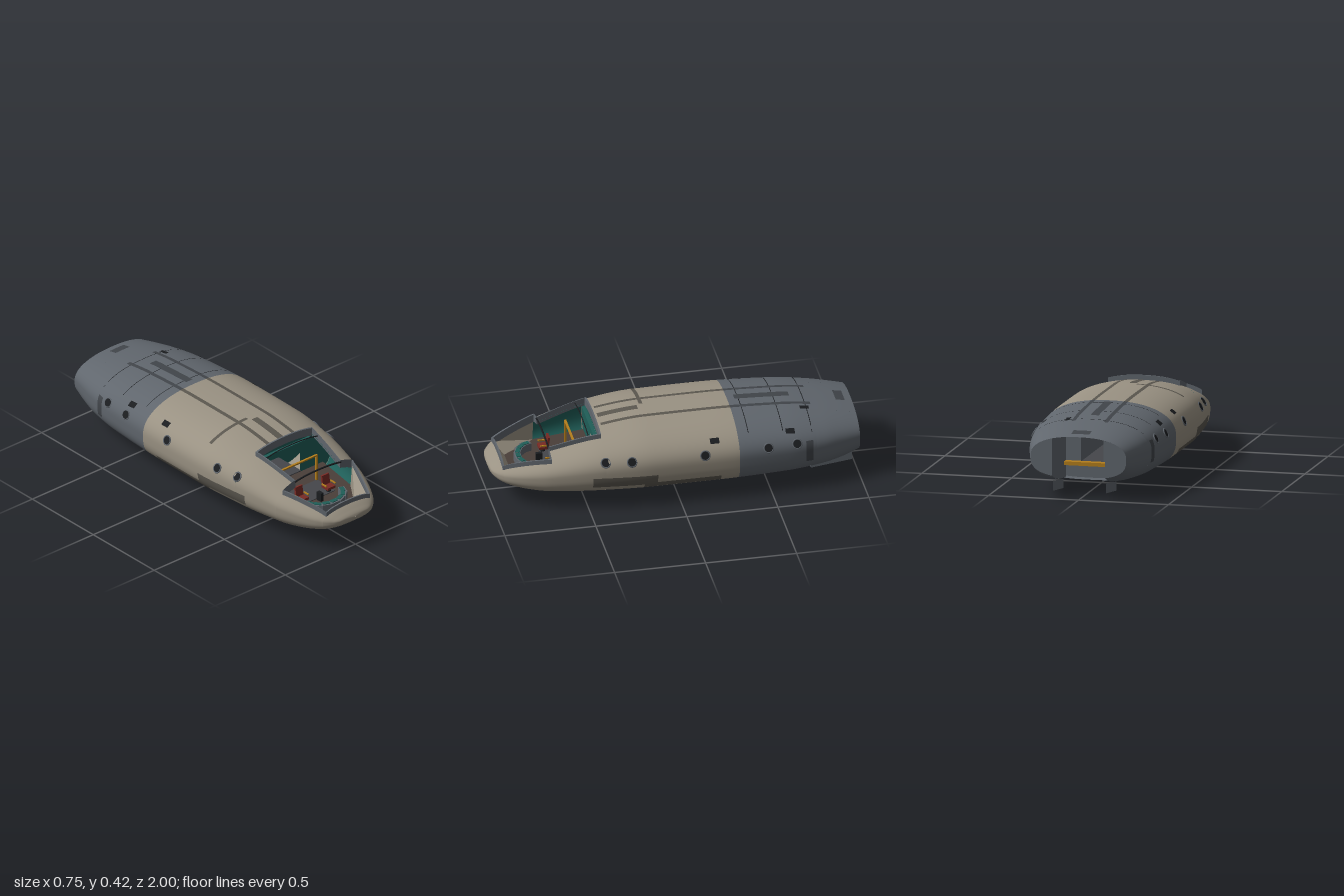
import * as THREE from 'three';

// Hull stations: z, half width, top, bottom, height of the widest line
const STATIONS = [
  [-1, 0.265, 0.345, 0.12, 0.235], [-0.9, 0.295, 0.365, 0.085, 0.235], [-0.8, 0.322, 0.381, 0.068, 0.235],
  [-0.6, 0.352, 0.404, 0.055, 0.235], [-0.2, 0.37, 0.418, 0.05, 0.235], [0.15, 0.369, 0.416, 0.05, 0.232],
  [0.41, 0.348, 0.387, 0.053, 0.22], [0.69, 0.297, 0.31, 0.062, 0.195], [0.8, 0.26, 0.275, 0.075, 0.185],
  [0.9, 0.21, 0.24, 0.098, 0.175], [0.94, 0.18, 0.223, 0.113, 0.172], [0.97, 0.145, 0.204, 0.13, 0.172],
  [0.993, 0.095, 0.186, 0.152, 0.172], [1, 0.004, 0.174, 0.17, 0.172]];
const TOP_N = 2.3, BOTTOM_N = 3;

const material = (color) => new THREE.MeshStandardMaterial({ color, side: THREE.DoubleSide });
const M = {
  beige: material(0x9a9283), grey: material(0x60666d), dark: material(0x45474b), streak: material(0x5b574f),
  greyStreak: material(0x41454a), teal: material(0x1f5e58), orange: material(0xb57f1c), brown: material(0x4a3f3a),
  red: material(0x7a2a24), black: material(0x1b1d20), blue: material(0x24406b),
};
const vec = (x, y, z) => new THREE.Vector3(x, y, z);
const steps = (a, b, n) => Array.from({ length: n + 1 }, (_, i) => a + (b - a) * i / n);
const shapeOf = (pts) => new THREE.Shape(pts.map(([x, y]) => new THREE.Vector2(x, y)));

// Smooth monotone interpolation of one column of the stations
function station(z, k) {
  const last = STATIONS.length - 1;
  let i = 0;
  while (i < last - 1 && z > STATIONS[i + 1][0]) i++;
  const slope = (n) => (STATIONS[n + 1][k] - STATIONS[n][k]) / (STATIONS[n + 1][0] - STATIONS[n][0]);
  const tangent = (n) => {
    const a = slope(Math.max(n - 1, 0)), b = slope(Math.min(n, last - 1));
    return a * b > 0 ? 2 * a * b / (a + b) : 0;
  };
  const h = STATIONS[i + 1][0] - STATIONS[i][0], t = (z - STATIONS[i][0]) / h;
  const p = STATIONS[i][k], q = STATIONS[i + 1][k];
  return p + (q - p) * t * t * (3 - 2 * t) + h * t * (1 - t) * ((1 - t) * tangent(i) - t * tangent(i + 1));
}

// Point of the +x half: angle PI/2 is the crown, -PI/2 the keel
function hullPoint(a, z, scale = 1) {
  const n = a >= 0 ? TOP_N : BOTTOM_N, mid = station(z, 4), reach = station(z, a >= 0 ? 2 : 3) - mid;
  return vec(scale * station(z, 1) * Math.pow(Math.max(0, Math.cos(a)), 2 / n),
    mid + scale * reach * Math.pow(Math.abs(Math.sin(a)), 2 / n), z);
}
const angleAt = (x, z, n) => Math.acos(Math.min(1, Math.pow(x / station(z, 1), n / 2)));
const onTop = (x, z) => hullPoint(angleAt(Math.abs(x), z, TOP_N), z).setX(x);
const onSide = (side) => (y, z) => {
  const up = y >= station(z, 4), n = up ? TOP_N : BOTTOM_N;
  const s = Math.abs((y - station(z, 4)) / (station(z, up ? 2 : 3) - station(z, 4)));
  const p = hullPoint((up ? 1 : -1) * Math.asin(Math.min(1, Math.pow(s, n / 2))), z);
  return vec(side * p.x, y, z);
};

// Surface from rows of points, smooth or faceted
function grid(rows, { flip = false, flat = false } = {}) {
  const idx = [], w = rows[0].length;
  for (let i = 0; i < rows.length - 1; i++) for (let j = 0; j < w - 1; j++) {
    const a = i * w + j, b = a + 1, c = a + w, d = c + 1;
    idx.push(...(flip ? [a, c, b, b, c, d] : [a, b, c, b, d, c]));
  }
  let g = new THREE.BufferGeometry().setFromPoints(rows.flat()).setIndex(idx);
  if (flat) g = g.toNonIndexed();
  g.computeVertexNormals();
  return g;
}

export function createModel() {
  const model = new THREE.Group();
  const add = (name, geometry, mat, x = 0, y = 0, z = 0, parent = model) => {
    const mesh = new THREE.Mesh(geometry, mat);
    mesh.name = name;
    mesh.position.set(x, y, z);
    parent.add(mesh);
    return mesh;
  };
  const box = (name, w, h, d, mat, x, y, z, parent) => add(name, new THREE.BoxGeometry(w, h, d), mat, x, y, z, parent);
  const group = (name, x, y, z) => {
    const g = new THREE.Group();
    g.name = name;
    g.position.set(x, y, z);
    model.add(g);
    return g;
  };

  // Hull sections, optionally open at crown or keel
  function hullSection(name, z0, z1, n, mat, crown = () => 0, keel = 0, scale = 1) {
    for (const side of [1, -1]) {
      const rows = steps(z0, z1, n).map((z) => steps(angleAt(crown(z), z, TOP_N), -angleAt(keel, z, BOTTOM_N), 40)
        .map((a) => hullPoint(a, z, scale).multiply(vec(side, 1, 1))));
      const g = grid(rows, { flip: side < 0 }), p = g.attributes.position, normal = g.attributes.normal;
      for (let i = 0; i < p.count; i++) if (Math.abs(p.getX(i)) < 1e-5) normal.setX(i, 0);
      g.normalizeNormals();
      add(name, g, mat);
    }
  }
  const lowerCut = (z) => THREE.MathUtils.mapLinear(z, 0.69, 0.94, 0.25, 0.155);
  const upperCut = (z) => THREE.MathUtils.mapLinear(z, 0.41, 0.69, 0.2, 0.165);
  hullSection('nose', 1, 0.94, 24, M.beige);
  hullSection('cockpitHull', 0.94, 0.69, 14, M.beige, lowerCut);
  hullSection('canopyHull', 0.69, 0.41, 12, M.beige, upperCut);
  hullSection('midHull', 0.41, -0.32, 24, M.beige);
  hullSection('rearHull', -0.32, -0.75, 16, M.grey);
  hullSection('sternHull', -0.75, -1, 12, M.grey, undefined, 0.147);
  hullSection('cockpitLining', 0.9, 0.69, 10, M.teal, lowerCut, 0, 0.96);
  hullSection('cabinLining', 0.69, 0.41, 10, M.teal, upperCut, 0, 0.96);

  // Raised collar and cross bars of the cockpit opening
  const corners = [[-0.2, 0.41], [0.2, 0.41], [0.165, 0.69], [0.25, 0.69], [0.155, 0.94], [-0.155, 0.94],
    [-0.25, 0.69], [-0.165, 0.69], [-0.2, 0.41]];
  for (let i = 0; i < corners.length - 1; i++) {
    const [a, b] = [corners[i], corners[i + 1]];
    add('canopyCollar', grid(steps(0, 1, 14).map((t) => {
      const p = onTop(a[0] + (b[0] - a[0]) * t, a[1] + (b[1] - a[1]) * t);
      const at = (s, dy) => vec(p.x * s, p.y + dy, 0.68 + (p.z - 0.68) * s);
      return [at(1, -0.008), at(1, 0.026), at(0.965, 0.026), at(0.965, -0.02)];
    }), { flat: true }), M.grey);
  }
  for (const [z, w, r] of [[0.69, 0.165, 0.005], [0.475, 0.19, 0.003]]) {
    const path = new THREE.CatmullRomCurve3(steps(-w, w, 8).map((x) => onTop(x, z).add(vec(0, 0.015, 0))));
    add('canopyBar', new THREE.TubeGeometry(path, 24, r, 6), M.black);
  }

  // Cockpit floor and the sloping sill in front of it
  const floor = shapeOf([[-0.28, -0.41], [0.28, -0.41], [0.23, -0.7], [0.1, -0.88], [-0.1, -0.88], [-0.23, -0.7]]);
  add('cockpitFloor', new THREE.ShapeGeometry(floor), M.brown, 0, 0.145, 0).rotation.x = -Math.PI / 2;
  box('floorPlate', 0.25, 0.004, 0.15, M.dark, 0, 0.149, 0.615);
  add('cockpitSill', grid([
    [[-0.245, 0.69], [-0.152, 0.935], [0.152, 0.935], [0.245, 0.69]].map(([x, z]) => onTop(x, z)),
    [[-0.225, 0.7], [-0.1, 0.88], [0.1, 0.88], [0.225, 0.7]].map(([x, z]) => vec(x, 0.145, z)),
  ], { flat: true }), M.beige);

  // Bulkheads shaped to the hull, each with a doorway, and the door frames
  for (const [z, w, top, mat] of [[0.405, 0.12, 0.31, M.teal], [0.2, 0.062, 0.3, M.teal], [-0.7, 0.062, 0.3, M.grey]]) {
    const half = steps(Math.PI / 2, -Math.PI / 2, 32).map((a) => hullPoint(a, z, 0.97));
    const shape = shapeOf([...half.map((p) => [p.x, p.y]), ...half.slice(1, -1).reverse().map((p) => [-p.x, p.y])]);
    shape.holes.push(shapeOf([[-w, 0.15], [-w, top], [w, top], [w, 0.15]]));
    add('bulkhead', new THREE.ShapeGeometry(shape), mat, 0, 0, z);
  }
  for (const [z, w, top] of [[0.54, 0.122, 0.304], [0.205, 0.064, 0.298]]) {
    for (const s of [-1, 1]) box('doorPost', 0.008, top - 0.15, 0.012, M.orange, s * w, (0.15 + top) / 2, z);
    box('doorLintel', 2 * w + 0.008, 0.008, 0.012, M.orange, 0, top, z);
  }
  box('locker', 0.02, 0.12, 0.05, M.blue, -0.108, 0.21, 0.3);
  box('overheadPanel', 0.34, 0.035, 0.02, M.teal, 0, 0.335, 0.43);
  // Corridor through the ship
  box('corridorFloor', 0.25, 0.006, 1.11, M.dark, 0, 0.147, -0.145);
  box('corridorCeiling', 0.14, 0.006, 0.9, M.dark, 0, 0.306, -0.25);
  for (const s of [-1, 1]) box('corridorWall', 0.006, 0.155, 0.9, M.grey, s * 0.068, 0.227, -0.25);

  // Seats and curved console
  for (const s of [-1, 1]) {
    const seat = group('pilotSeat', s * 0.095, 0.147, 0.67);
    add('seatPost', new THREE.CylinderGeometry(0.008, 0.016, 0.025, 10), M.black, 0, 0.012, 0, seat);
    box('seatCushion', 0.055, 0.014, 0.05, M.red, 0, 0.03, 0, seat);
    box('seatBack', 0.05, 0.06, 0.012, M.red, 0, 0.062, -0.026, seat).rotation.x = -0.15;
    for (const k of [-1, 1]) box('armrest', 0.007, 0.007, 0.04, M.orange, k * 0.031, 0.048, 0, seat);
  }
  for (const a of steps(-1.2, 1.2, 6)) {
    const desk = group('console', 0.125 * Math.sin(a), 0.147, 0.725 + 0.1 * Math.cos(a));
    desk.rotation.y = a;
    box('consoleBase', 0.058, 0.045, 0.035, M.grey, 0, 0.022, 0, desk);
    box('consoleScreen', 0.04, 0.004, 0.024, M.teal, 0, 0.047, -0.002, desk);
  }
  box('centrePedestal', 0.02, 0.05, 0.035, M.black, 0, 0.17, 0.71);

  // Stern end plates, ramp bay walls and the skirt below
  const bayTop = (z) => angleAt(0.147, z, TOP_N), bayBottom = (z) => -angleAt(0.147, z, BOTTOM_N);
  for (const s of [-1, 1]) {
    const edge = steps(bayTop(-1), bayBottom(-1), 28).map((a) => hullPoint(a, -1));
    add('sternPlate', new THREE.ShapeGeometry(shapeOf(edge.map((p) => [s * p.x, p.y]))), M.grey, 0, 0, -1);
    add('bayWall', grid([bayTop, bayBottom].map((angle) => steps(-0.7, -1, 8)
      .map((z) => hullPoint(angle(z), z).setX(s * 0.147)))), M.grey);
    add('skirtFin', grid([[vec(s * 0.147, 0.062, -0.755), vec(s * 0.147, 0.095, -0.98)],
      [vec(s * 0.147, 0.012, -0.755), vec(s * 0.147, 0.04, -0.98)]]), M.grey);
  }
  const skirt = shapeOf([[0.147, 0.065], [-0.147, 0.065], [-0.147, 0.012]]);
  skirt.quadraticCurveTo(0, -0.012, 0.147, 0.012);
  add('skirtFront', new THREE.ShapeGeometry(skirt), new THREE.MeshStandardMaterial({ color: 0x60666d }), 0, 0, -0.755);
  box('bayStep', 0.29, 0.02, 0.04, M.orange, 0, 0.147, -0.73);

  // Painted streaks, seams and panels laid over the hull
  function patch(name, on, u0, u1, z0, z1, mat) {
    const lifted = (u, z) => {
      const p = on(u, z);
      return p.addScaledVector(vec(p.x / 0.37, (p.y - 0.235) / 0.18, 0).normalize(), 0.0015);
    };
    add(name, grid(steps(z0, z1, 16).map((z) => steps(u0, u1, 12).map((u) => lifted(u, z)))), mat);
  }
  for (const x of [-0.09, 0.09]) {
    patch('streak', onTop, x - 0.011, x + 0.011, -0.32, 0.39, M.streak);
    patch('streak', onTop, x - 0.011, x + 0.011, -0.76, -0.32, M.greyStreak);
  }
  patch('streak', onTop, -0.025, 0.02, -0.66, -0.36, M.greyStreak);
  patch('streak', onTop, -0.02, 0.02, 0.17, 0.39, M.streak);
  patch('streak', onTop, -0.29, -0.03, 0.135, 0.155, M.streak);
  patch('streak', onTop, -0.05, 0.05, -0.96, -0.91, M.greyStreak);
  for (const z of [-0.38, -0.57, -0.73]) patch('panelSeam', onTop, -0.29, 0.29, z - 0.002, z + 0.002, M.black);
  for (const [x, z] of [[-0.31, -0.47], [0.29, -0.61], [-0.315, -0.19], [0.315, -0.19], [0.13, -0.72]])
    patch('vent', onTop, x - 0.013, x + 0.013, z - 0.025, z + 0.025, M.black);
  for (const s of [-1, 1]) {
    patch('sidePanel', onSide(s), 0.14, 0.2, 0.13, 0.48, M.streak);
    patch('sidePanel', onSide(s), 0.11, 0.15, -0.22, 0.2, M.streak);
    patch('sideStreak', onSide(s), 0.17, 0.29, -0.73, -0.69, M.greyStreak);
    // Portholes
    for (const z of [0.41, 0.27, -0.13, -0.48, -0.64]) {
      const p = onSide(s)(0.285, z), q = onSide(s)(0.295, z);
      const porthole = group('porthole', p.x, p.y, z);
      porthole.lookAt(p.x + s * 0.01, p.y + s * (p.x - q.x), z);
      add('portholeGlass', new THREE.CircleGeometry(0.024, 24), M.black, 0, 0, 0.002, porthole);
      add('portholeRim', new THREE.TorusGeometry(0.025, 0.004, 6, 28), M.grey, 0, 0, 0, porthole);
    }
  }
  return model;
}
